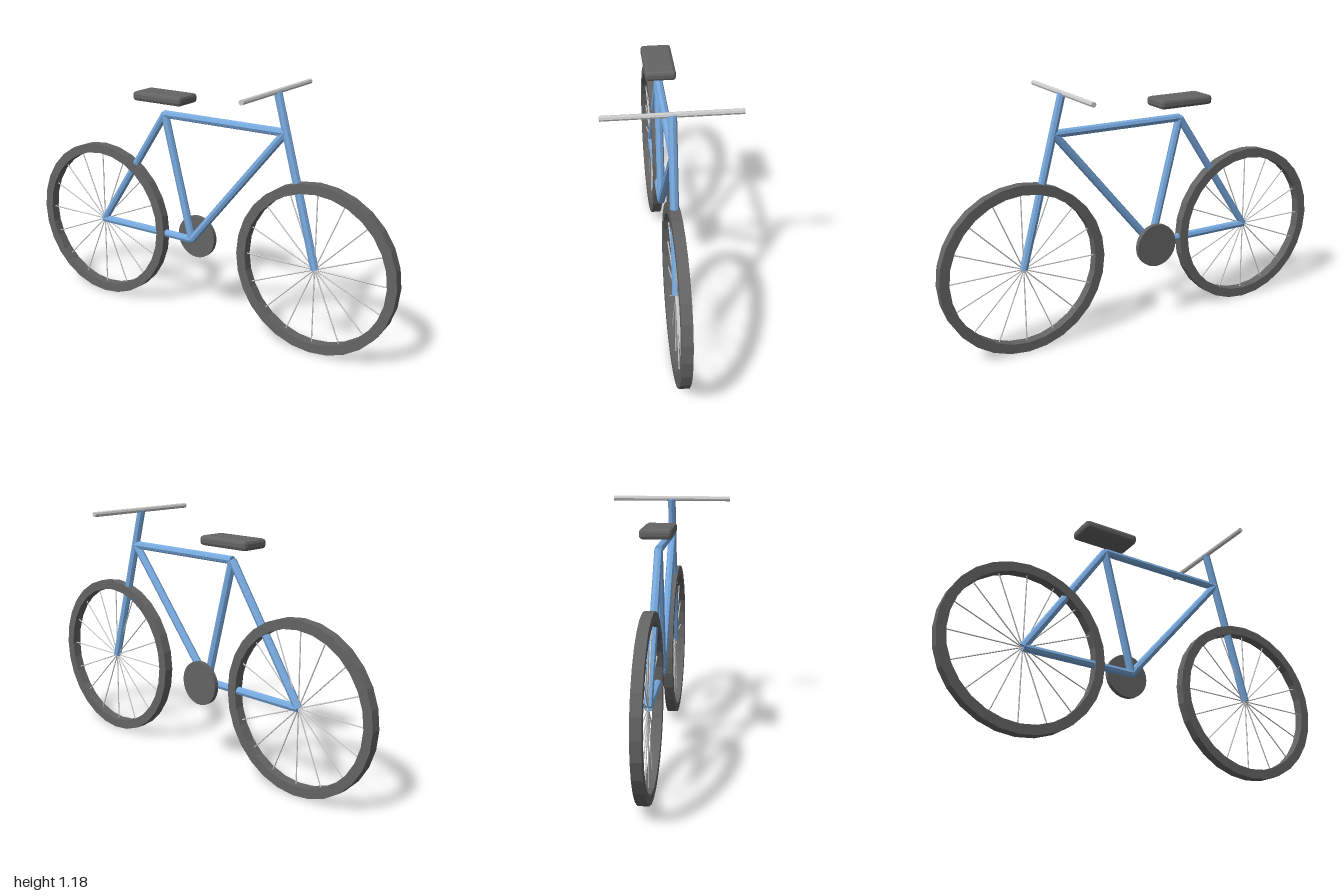
import * as THREE from 'three';
import { RoundedBoxGeometry } from 'three/addons/geometries/RoundedBoxGeometry.js';

const WHEEL_X = 0.605, HUB_Y = 0.395, TYRE_R = 0.395, RIM_R = 0.35, TYRE_HALF = 0.023;

function paint(name, color) {
  const m = new THREE.MeshStandardMaterial({ color });
  m.name = name;
  m.flatShading = true;
  return m;
}

// Straight tube between two points
function tube(name, a, b, radius, sides, material) {
  const from = new THREE.Vector3(...a), to = new THREE.Vector3(...b);
  const dir = to.clone().sub(from);
  const mesh = new THREE.Mesh(new THREE.CylinderGeometry(radius, radius, dir.length(), sides), material);
  mesh.name = name;
  mesh.position.copy(from).add(to).multiplyScalar(0.5);
  mesh.quaternion.setFromUnitVectors(new THREE.Vector3(0, 1, 0), dir.normalize());
  return mesh;
}

// Square-section tyre with thin spokes running to the hub
function makeWheel(name, x, rubber, steel) {
  const wheel = new THREE.Group();
  wheel.name = name;
  wheel.position.set(x, HUB_Y, 0);
  const section = [
    [RIM_R, -TYRE_HALF], [TYRE_R, -TYRE_HALF], [TYRE_R, TYRE_HALF],
    [RIM_R, TYRE_HALF], [RIM_R, -TYRE_HALF],
  ].map(([r, h]) => new THREE.Vector2(r, h));
  const tyre = new THREE.Mesh(new THREE.LatheGeometry(section, 28), rubber);
  tyre.name = 'tyre';
  tyre.rotation.x = Math.PI / 2;
  wheel.add(tyre);
  const spokes = 16;
  for (let i = 0; i < spokes; i++) {
    const a = (i / spokes) * Math.PI * 2;
    wheel.add(tube('spoke', [0, 0, 0], [Math.cos(a) * 0.355, Math.sin(a) * 0.355, 0], 0.003, 5, steel));
  }
  return wheel;
}

export function createModel() {
  const model = new THREE.Group();
  model.name = 'bicycle';
  const blue = paint('frame blue', 0x78aae0);
  const rubber = paint('dark rubber', 0x646464);
  const steel = paint('steel grey', 0xcccccc);

  // Wheels
  model.add(makeWheel('rearWheel', -WHEEL_X, rubber, steel));
  model.add(makeWheel('frontWheel', WHEEL_X, rubber, steel));

  // Frame
  const rear = [-WHEEL_X, HUB_Y, 0], crank = [-0.057, HUB_Y, 0];
  const seatTop = [-0.21, 0.99, 0], head = [0.438, 0.99, 0];
  const barTop = [0.395, 1.165, 0], front = [WHEEL_X, HUB_Y, 0];
  const frame = new THREE.Group();
  frame.name = 'frame';
  for (const [name, a, b] of [
    ['chainStay', rear, crank],
    ['seatStay', rear, seatTop],
    ['seatTube', crank, seatTop],
    ['topTube', seatTop, head],
    ['downTube', crank, head],
    ['fork', front, barTop],
  ]) frame.add(tube(name, a, b, 0.019, 8, blue));
  model.add(frame);

  // Handlebar across the top of the fork
  model.add(tube('handlebar', [0.394, 1.165, -0.291], [0.394, 1.165, 0.291], 0.012, 8, steel));

  // Chainring disc on the back side
  model.add(tube('chainring', [-0.057, HUB_Y + 0.002, -0.057], [-0.057, HUB_Y + 0.002, -0.035], 0.104, 28, rubber));

  // Saddle with chamfered edges
  const saddle = new THREE.Mesh(new RoundedBoxGeometry(0.276, 0.044, 0.14, 1, 0.014), rubber);
  saddle.name = 'saddle';
  saddle.position.set(-0.21, 1.072, 0);
  model.add(saddle);

  return model;
}
